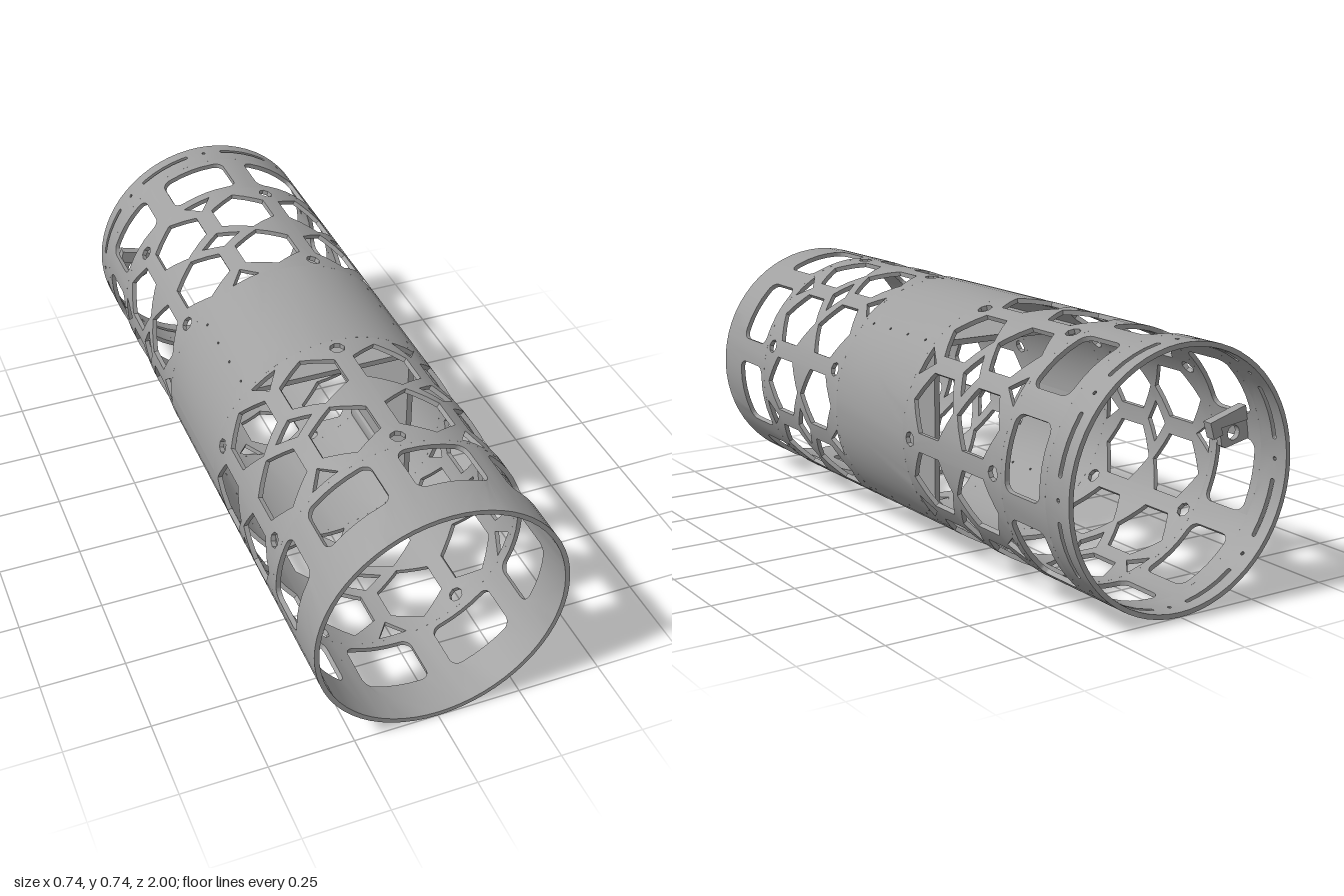
import * as THREE from 'three';
import { toCreasedNormals } from 'three/addons/utils/BufferGeometryUtils.js';

const R = 0.369, WALL = 0.014, CY = 0.37, DEG = Math.PI / 180;
const arc = (deg) => deg * DEG * R; // angle from the top towards +x, as unrolled length

// ---- hole outlines on the unrolled wall (u = arc length, v = -z) ----
function polygon(points) {
  return new THREE.Path(points.concat([points[0]]).map(([x, y]) => new THREE.Vector2(x, y)));
}

function roundHole(u, v, r) {
  return new THREE.Path().absarc(u, v, r, 0, Math.PI * 2, true);
}

function hexHole(u, v, r) {
  const pts = [];
  for (let i = 0; i < 6; i++) {
    const a = (90 + i * 60) * DEG;
    pts.push([u + r * Math.cos(a), v + r * Math.sin(a)]);
  }
  return polygon(pts);
}

function slotHole(u, v, w, h, r) {
  const p = new THREE.Path(), x = w / 2 - r, y = h / 2 - r;
  p.absarc(u + x, v + y, r, 0, Math.PI / 2);
  p.absarc(u - x, v + y, r, Math.PI / 2, Math.PI);
  p.absarc(u - x, v - y, r, Math.PI, Math.PI * 1.5);
  p.absarc(u + x, v - y, r, Math.PI * 1.5, Math.PI * 2);
  p.closePath();
  return p;
}

// Keep the part of a polygon where side * (u - limit) >= 0
function clip(poly, limit, side) {
  const out = [];
  poly.forEach((a, i) => {
    const b = poly[(i + 1) % poly.length];
    const da = side * (a[0] - limit), db = side * (b[0] - limit);
    if (da >= 0) out.push(a);
    if (da * db < 0) out.push(a.map((value, k) => value + (b[k] - value) * da / (da - db)));
  });
  return out;
}

// Cut a triangle into strips along u, so that it bends smoothly
function sliceTriangle(tri, u0, step, out) {
  const us = tri.map((c) => (c[0] - u0) / step);
  const first = Math.floor(Math.min(...us) + 1e-4), last = Math.ceil(Math.max(...us) - 1e-4);
  if (last - first < 2) {
    out.push(...tri);
    return;
  }
  for (let k = first; k < last; k++) {
    const piece = clip(clip(tri, u0 + k * step, 1), u0 + (k + 1) * step, -1);
    for (let i = 2; i < piece.length; i++) out.push(piece[0], piece[i - 1], piece[i]);
  }
}

// One ring of the tube: a flat perforated sector, bent round the z axis and repeated
function bentRing(zBack, zFront, startDeg, copies, holes) {
  const sectorDeg = 360 / copies, cuts = Math.round(sectorDeg / 5.5);
  const u0 = arc(startDeg), step = arc(sectorDeg) / cuts;
  const outline = [];
  for (let i = 0; i <= cuts; i++) outline.push(new THREE.Vector2(u0 + i * step, -zFront));
  for (let i = cuts; i >= 0; i--) outline.push(new THREE.Vector2(u0 + i * step, -zBack));
  const sector = new THREE.Shape(outline);
  sector.holes.push(...holes);
  const flat = new THREE.ExtrudeGeometry(sector, { depth: WALL, bevelEnabled: false, curveSegments: 4 });
  const p = flat.attributes.position, corners = [];
  const at = (i) => [p.getX(i), p.getY(i), p.getZ(i)];
  for (let i = 0; i < p.count; i += 3) sliceTriangle([at(i), at(i + 1), at(i + 2)], u0, step, corners);

  const bent = [];
  for (let n = 0; n < copies; n++) {
    for (const [u, v, w] of corners) {
      const r = R - WALL + w, a = u / R + n * sectorDeg * DEG;
      bent.push(r * Math.sin(a), CY + r * Math.cos(a), -v);
    }
  }
  const g = new THREE.BufferGeometry();
  g.setAttribute('position', new THREE.Float32BufferAttribute(bent, 3));
  return toCreasedNormals(g, 0.5);
}

// ---- rings ----
function windowRing(zBack, zFront, deg, z) {
  return bentRing(zBack, zFront, deg - 22.5, 8, [slotHole(arc(deg), -z, arc(33), 0.155, 0.028)]);
}

// Two rows of hexagons; between columns, diamonds with end triangles alternate with round holes
function honeycombRing(zBack, zFront, columnDeg) {
  const v = -(zBack + zFront) / 2, u = arc(columnDeg + 36), roundU = arc(columnDeg + 72);
  const holes = [polygon([[u - 0.066, v], [u, v - 0.039], [u + 0.066, v], [u, v + 0.039]])];
  for (const s of [-1, 1]) {
    const end = v + s * 0.2125;
    holes.push(
      hexHole(arc(columnDeg + 18), v + s * 0.1125, 0.102),
      hexHole(arc(columnDeg + 54), v + s * 0.1125, 0.102),
      roundHole(roundU, end, 0.022),
      polygon([[u - 0.045, end + s * 0.025], [u + 0.045, end + s * 0.025], [u, end - s * 0.032]]),
    );
  }
  return bentRing(zBack, zFront, columnDeg + 4, 5, holes);
}

function rimRing(zBack, zFront, z) {
  const holes = [slotHole(arc(22.5), -z, arc(27), 0.014, 0.006), roundHole(arc(45), -z, 0.006)];
  return bentRing(zBack, zFront, 5, 8, holes);
}

function bandRing(zBack, zFront) {
  const screwHoles = [-0.15, -0.05, 0.05, 0.15].map((v) => roundHole(arc(45), v, 0.004));
  return bentRing(zBack, zFront, 0, 4, screwHoles);
}

// Profile in x and y (y from the tube axis), extruded along z
function profilePart(points, [x, y, r], zBack, zFront) {
  const shape = new THREE.Shape(points.map((p) => new THREE.Vector2(...p)));
  if (r) shape.holes.push(roundHole(x, y, r));
  const g = new THREE.ExtrudeGeometry(shape, { depth: zFront - zBack, bevelEnabled: false, curveSegments: 10 });
  g.translate(0, CY, zBack);
  return toCreasedNormals(g, 0.5);
}

export function createModel() {
  const model = new THREE.Group();
  model.name = 'perforatedTube';
  const grey = new THREE.MeshStandardMaterial({ color: 0xa0a0a0 });
  grey.name = 'grey';
  const add = (name, geometry) => {
    const mesh = new THREE.Mesh(geometry, grey);
    mesh.name = name;
    model.add(mesh);
  };

  // Tube wall, from back to front
  add('backRim', rimRing(-1, -0.9, -0.955));
  add('backWindowRing', windowRing(-0.9, -0.7, 33.75, -0.797));
  add('backHoneycomb', honeycombRing(-0.7, -0.2, 18));
  add('middleBand', bandRing(-0.2, 0.2));
  add('frontHoneycomb', honeycombRing(0.2, 0.7, 0));
  add('frontWindowRing', windowRing(0.7, 1, 56.25, 0.797));

  // Two inner panels at right angles, mirrored across the diagonal
  const panel = [
    [-0.25, 0.262], [0.25, 0.262], [0.25, 0.245], [-0.215, 0.245],
    [-0.222, 0.237], [-0.235, 0.233], [-0.263, 0.238],
  ];
  const mirrored = panel.map(([x, y]) => [y, x]);
  add('topPanel', profilePart(panel, [-0.235, 0.249, 0.006], -0.2, 0.2));
  add('sidePanel', profilePart(mirrored, [0.249, -0.235, 0.006], -0.2, 0.2));

  // Small bracket inside the back windows
  add('bracketPlate', profilePart(
    [[-0.353, 0.035], [-0.27, 0.018], [-0.257, 0.025], [-0.25, 0.06], [-0.25, 0.1], [-0.343, 0.1]],
    [-0.298, 0.058, 0.021], -0.85, -0.832));
  add('bracketArm', profilePart(
    [[-0.335, 0.132], [-0.21, 0.097], [-0.225, 0.049], [-0.257, 0.058], [-0.25, 0.078], [-0.345, 0.09]],
    [], -0.855, -0.825));
  return model;
}
